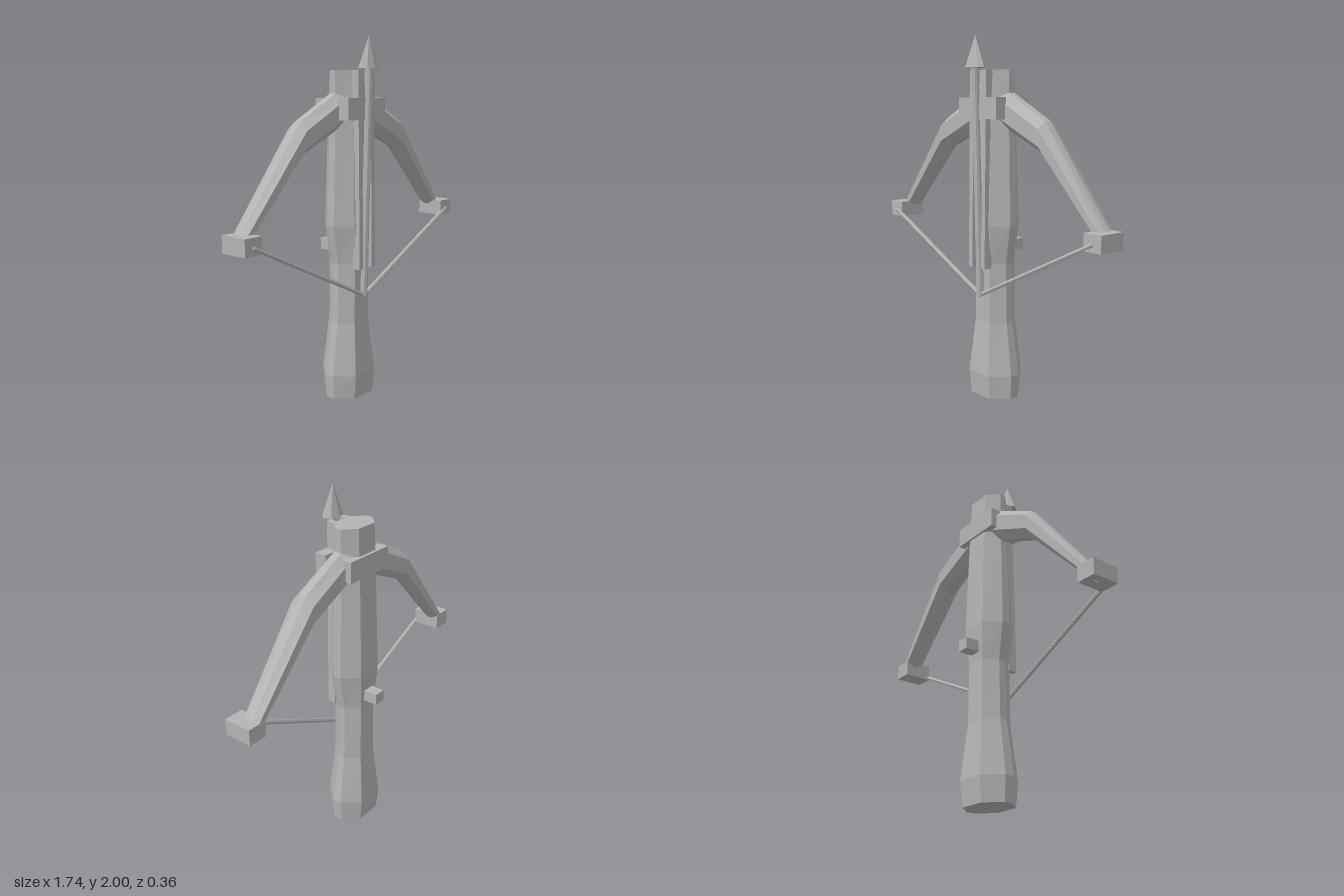
import * as THREE from 'three';

const grey = new THREE.MeshStandardMaterial({ color: 0xb4b4b4, flatShading: true });
grey.name = 'plain grey';

// Eight-sided outline: half sizes U and V, with flats of half length fv and fu
const octagon = (U, V, fu, fv) => [
  [U, -fv], [U, fv], [fu, V], [-fu, V], [-U, fv], [-U, -fv], [-fu, -V], [fu, -V],
];

// Skin a row of matching rings and close both ends
function loft(rings) {
  const pos = [];
  const tri = (...points) => points.forEach((p) => pos.push(...p));
  const n = rings[0].length;
  for (let k = 0; k < rings.length - 1; k++) {
    const a = rings[k], b = rings[k + 1];
    for (let i = 0; i < n; i++) {
      const j = (i + 1) % n;
      tri(a[i], a[j], b[j]);
      tri(a[i], b[j], b[i]);
    }
  }
  const first = rings[0], last = rings[rings.length - 1];
  for (let i = 1; i < n - 1; i++) {
    tri(first[0], first[i + 1], first[i]);
    tri(last[0], last[i], last[i + 1]);
  }
  const geo = new THREE.BufferGeometry();
  geo.setAttribute('position', new THREE.Float32BufferAttribute(pos, 3));
  geo.computeVertexNormals();
  return geo;
}

export function createModel() {
  const model = new THREE.Group();
  model.name = 'crossbow';

  const add = (name, geo, x = 0, y = 0, z = 0) => {
    const mesh = new THREE.Mesh(geo, grey);
    mesh.name = name;
    mesh.position.set(x, y, z);
    model.add(mesh);
    return mesh;
  };
  const box = (name, w, h, d, x, y, z) => add(name, new THREE.BoxGeometry(w, h, d), x, y, z);

  // Straight rod between two points
  const rod = (name, from, to, radius, sides) => {
    const a = new THREE.Vector3(...from), b = new THREE.Vector3(...to);
    const dir = b.clone().sub(a);
    const mesh = add(name, new THREE.CylinderGeometry(radius, radius, dir.length(), sides));
    mesh.position.copy(a).add(b).multiplyScalar(0.5);
    mesh.quaternion.setFromUnitVectors(new THREE.Vector3(0, 1, 0), dir.normalize());
  };

  // Stock: height, half width, half depth
  const stock = [
    [0, 0.157, 0.11], [0.135, 0.166, 0.123], [0.435, 0.12, 0.095], [0.77, 0.113, 0.093],
    [0.98, 0.15, 0.108], [1.5, 0.136, 0.093], [1.82, 0.13, 0.08],
  ].map(([y, hw, hd]) => octagon(hd, hw, hd * 0.22, hw * 0.5).map(([z, x]) => [x, y, z]));
  add('stock', loft(stock));

  // Bow limb: x, top, bottom, half depth
  const limb = loft([
    [0.1, 1.715, 1.515, 0.066], [0.405, 1.555, 1.382, 0.069], [0.83, 1.015, 0.937, 0.05],
  ].map(([x, top, bottom, hz]) => {
    const mid = (top + bottom) / 2, hy = (top - bottom) / 2;
    return octagon(hy, hz, hy * 0.5, hz * 0.3).map(([y, z]) => [x, mid + y, z]);
  }));

  for (const [side, s] of [['left', 1], ['right', -1]]) {
    add(side + 'Limb', limb).rotation.y = s > 0 ? 0 : Math.PI;
    box(side + 'LimbTip', 0.11, 0.09, 0.162, s * 0.817, 0.99, 0.027);
    rod(side + 'String', [s * 0.82, 0.985, 0.105], [0, 0.587, 0.112], 0.012, 6);
    // Guide rail beside the bolt, leaning slightly
    box(side + 'Rail', 0.03, 1.075, 0.05, s * 0.052, 1.282, 0.105).rotation.x = -0.012;
  }

  // Clamp plates holding the limbs
  box('frontClamp', 0.31, 0.115, 0.068, 0, 1.617, 0.096);
  box('backClamp', 0.31, 0.115, 0.062, 0, 1.617, -0.072);

  // Trigger
  box('trigger', 0.07, 0.063, 0.1, 0, 0.85, -0.13);

  // Bolt
  rod('boltShaft', [0, 0.585, 0.112], [0, 1.84, 0.143], 0.02, 8);
  add('boltHead', new THREE.ConeGeometry(0.072, 0.17, 8), 0, 1.915, 0.14).scale.z = 0.6;

  return model;
}
